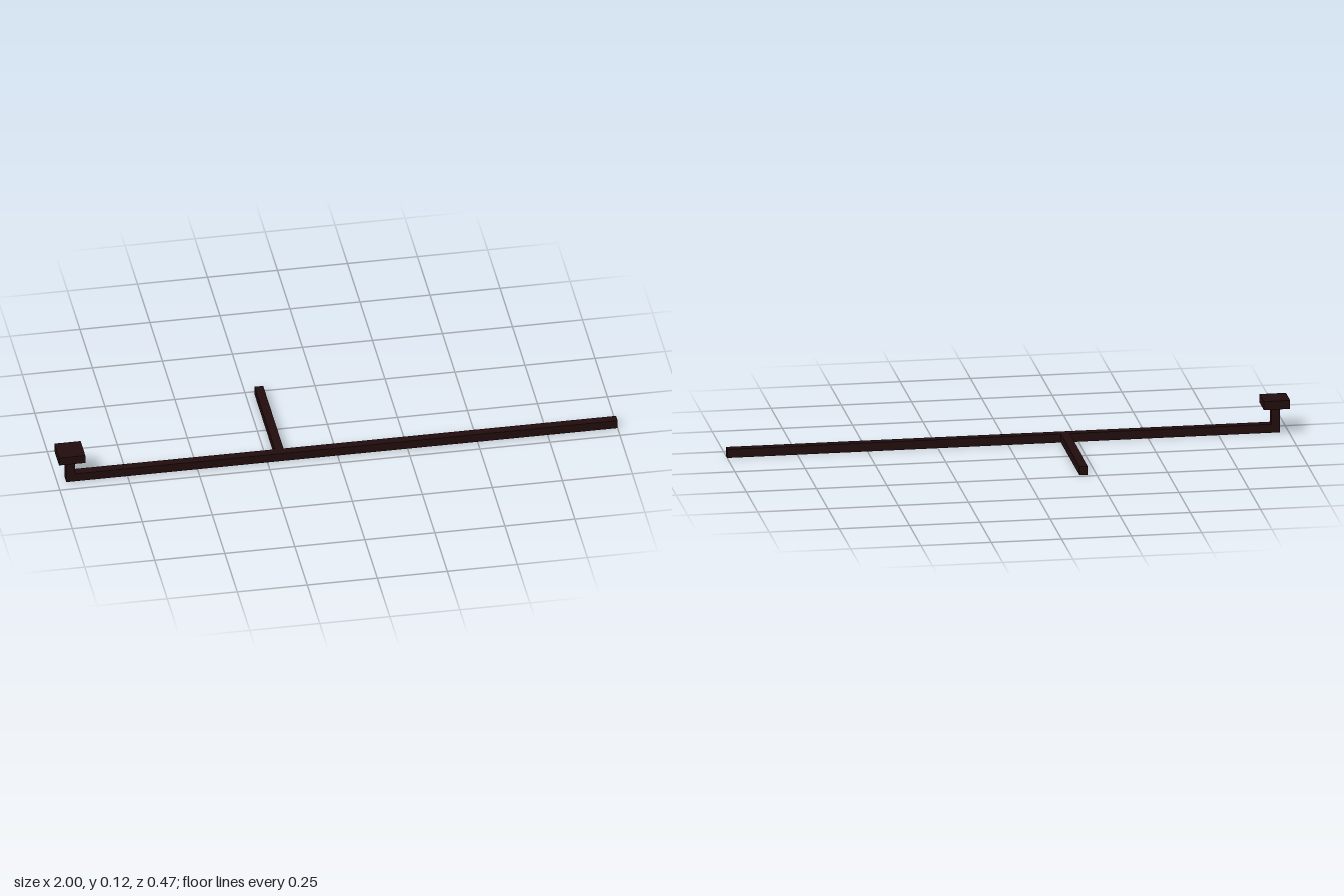
import * as THREE from 'three';

const U = 1 / 32; // thickness of every bar

export function createModel() {
  const model = new THREE.Group();
  model.name = 'branchedRod';
  const darkBrown = new THREE.MeshStandardMaterial({ color: 0x220d0d });
  darkBrown.name = 'darkBrown';

  // Box from its minimum corner and size, both in bar thicknesses
  function box(name, [x, y, z], [w, h, d]) {
    const mesh = new THREE.Mesh(new THREE.BoxGeometry(w * U, h * U, d * U), darkBrown);
    mesh.name = name;
    mesh.position.set((x + w / 2) * U, (y + h / 2) * U, (z + d / 2) * U);
    model.add(mesh);
  }

  // Long bar along x, with a side branch towards the back
  box('mainBar', [-31, 0, 5.5], [63, 1, 1]);
  box('sideBranch', [-7, 0, -7.5], [1, 1, 13]);

  // Upright post and square cap at the right end
  box('post', [-31, 1, 5.5], [1, 2, 1]);
  box('cap', [-32, 3, 4.5], [3, 1, 3]);

  return model;
}
